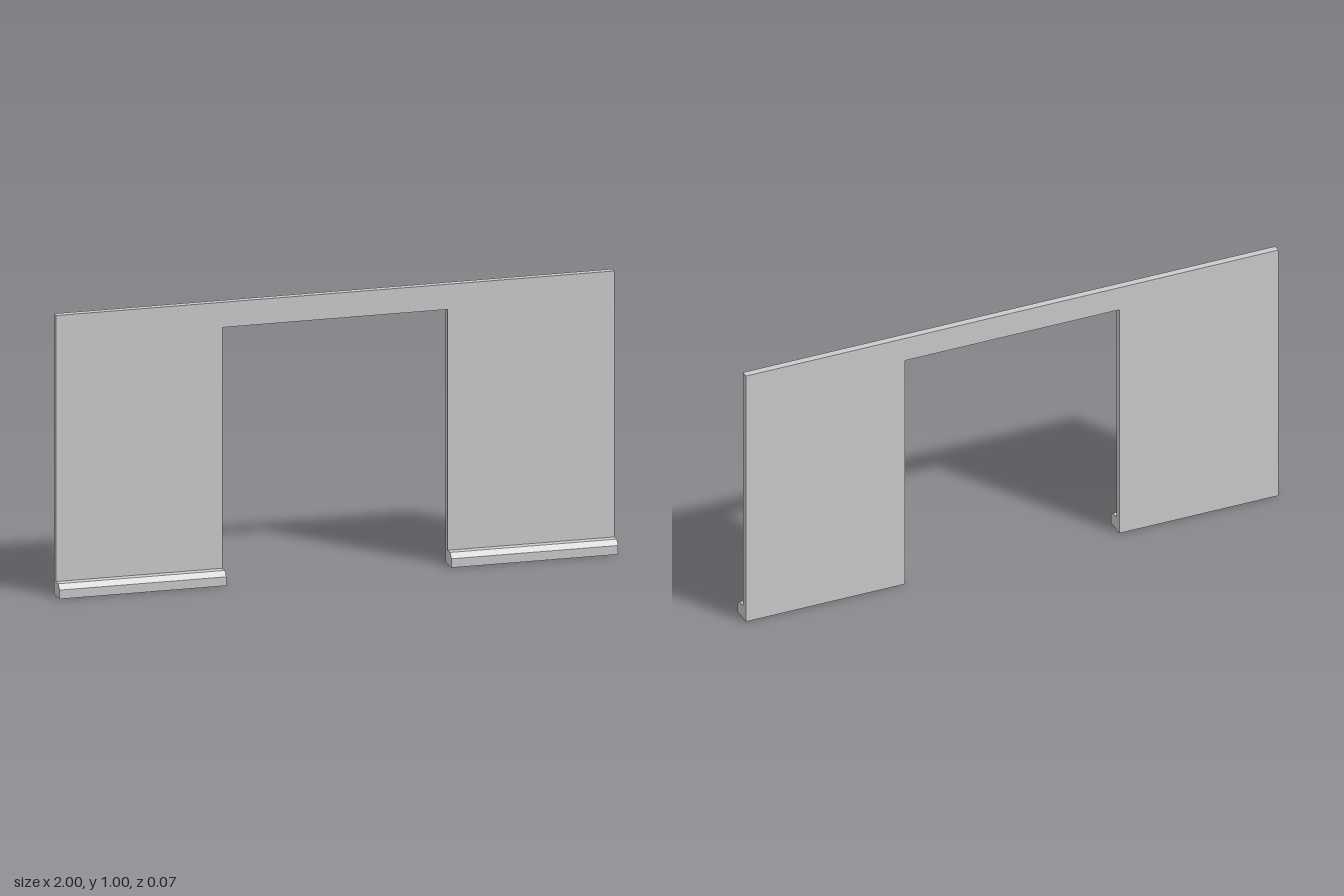
import * as THREE from 'three';

const HALF = 1, DOOR = 0.403, HEIGHT = 1, DOOR_TOP = 0.91;
const BACK = -0.036, FACE = -0.01, TOE = 0.036;

// Skirting outline as [z, y], from the wall face down to the floor
const skirting = [[FACE, 0.05], [0.019, 0.05], [TOE, 0.032], [TOE, 0]];

const material = new THREE.MeshStandardMaterial({ color: 0xcccccc, side: THREE.DoubleSide });

function addMesh(parent, name, geometry) {
  const mesh = new THREE.Mesh(geometry, material);
  mesh.name = name;
  parent.add(mesh);
}

// Flat-shaded open shell: a [z, y] path swept from x0 to x1
function sweep(path, x0, x1) {
  const positions = [];
  for (let i = 0; i < path.length - 1; i++) {
    const [za, ya] = path[i], [zb, yb] = path[i + 1];
    positions.push(x0, ya, za, x0, yb, zb, x1, yb, zb);
    positions.push(x0, ya, za, x1, yb, zb, x1, ya, za);
  }
  const geometry = new THREE.BufferGeometry();
  geometry.setAttribute('position', new THREE.Float32BufferAttribute(positions, 3));
  geometry.computeVertexNormals();
  return geometry;
}

// Flat end plate at x, facing along side (+1 or -1)
function endPlate(outline, x, side) {
  const shape = new THREE.Shape(outline.map(([z, y]) => new THREE.Vector2(-side * z, y)));
  return new THREE.ShapeGeometry(shape).rotateY(side * Math.PI / 2).translate(x, 0, 0);
}

// Wall section of the given height with its skirting, open underneath
const section = (top) => [[BACK, 0], [BACK, top], [FACE, top], ...skirting];

export function createModel() {
  const model = new THREE.Group();
  model.name = 'wallWithDoorway';

  // Wall panels either side of the doorway, hollow with an open base
  for (const side of [1, -1]) {
    const panel = new THREE.Group();
    panel.name = side > 0 ? 'leftPanel' : 'rightPanel';
    const x0 = side > 0 ? DOOR : -HALF;
    const x1 = side > 0 ? HALF : -DOOR;
    addMesh(panel, 'panelShell', sweep(section(HEIGHT), x0, x1));
    addMesh(panel, 'outerEnd', endPlate(section(HEIGHT), side * HALF, side));
    addMesh(panel, 'doorJamb', endPlate(section(DOOR_TOP), side * DOOR, -side));
    model.add(panel);
  }

  // Lintel over the doorway
  const lintel = [[BACK, DOOR_TOP], [BACK, HEIGHT], [FACE, HEIGHT], [FACE, DOOR_TOP], [BACK, DOOR_TOP]];
  addMesh(model, 'lintel', sweep(lintel, -DOOR, DOOR));

  return model;
}
